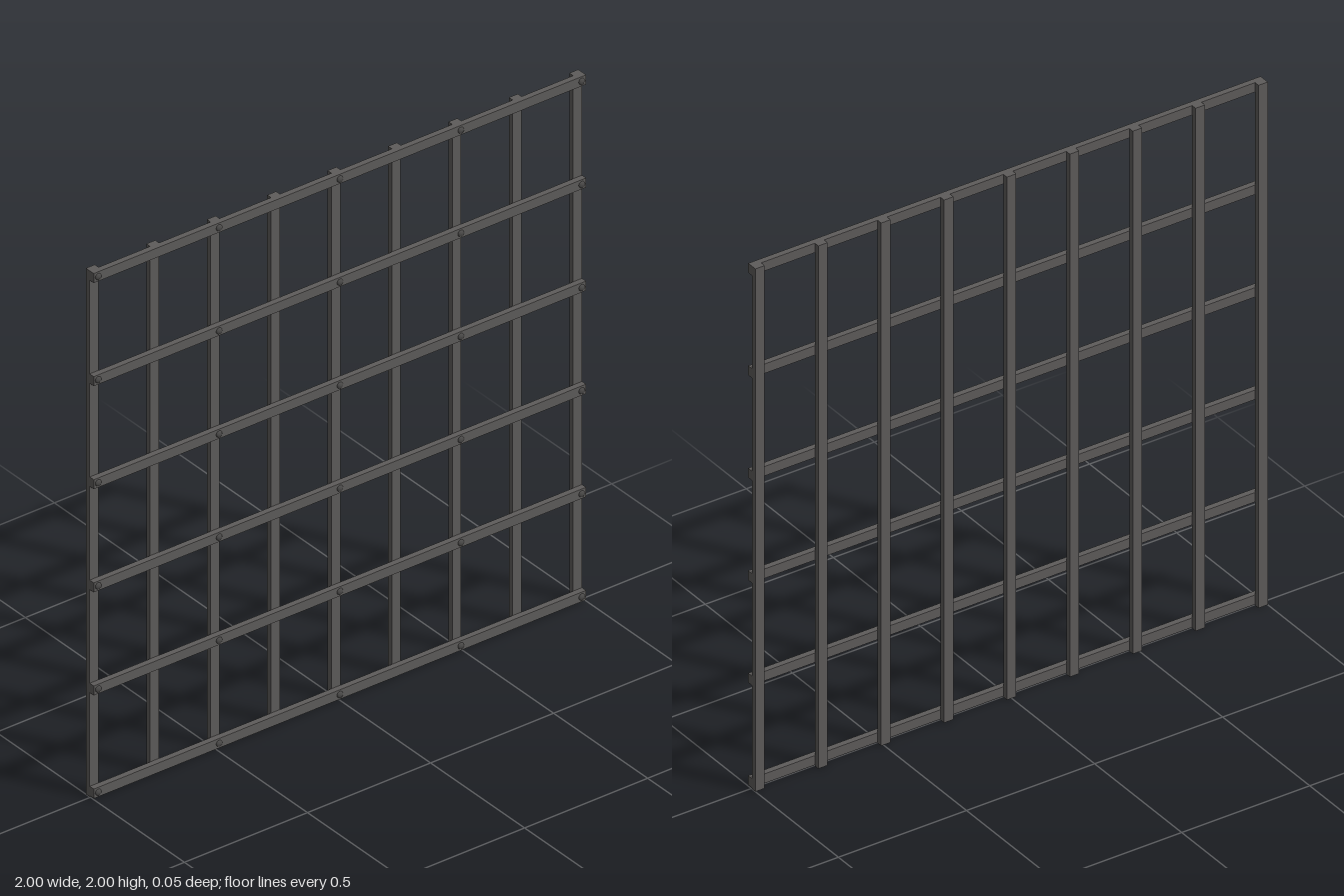
import * as THREE from 'three';

export function createModel() {
  const group = new THREE.Group();
  group.name = 'latticePanel';
  const steel = new THREE.MeshStandardMaterial({ color: 0x5e5c5b });
  steel.name = 'darkSteel';
  const boltSteel = new THREE.MeshStandardMaterial({ color: 0x4c4b4a });
  boltSteel.name = 'boltSteel';

  const width = 0.036;
  const postX = (i) => -0.982 + i * 0.2455;
  const barY = (j) => 0.022 + j * 0.392;

  const add = (geometry, material, name, x, y, z) => {
    const mesh = new THREE.Mesh(geometry, material);
    mesh.name = name;
    mesh.position.set(x, y, z);
    group.add(mesh);
  };

  // Nine upright posts at the back
  const postGeometry = new THREE.BoxGeometry(width, 2, 0.02);
  for (let i = 0; i < 9; i++) add(postGeometry, steel, 'post', postX(i), 1, -0.0135);

  // Low domed bolt head, its axis turned towards the front
  const boltGeometry = new THREE.LatheGeometry([
    new THREE.Vector2(0.012, 0),
    new THREE.Vector2(0.011, 0.003),
    new THREE.Vector2(0.007, 0.005),
    new THREE.Vector2(0, 0.006),
  ], 16);
  boltGeometry.rotateX(Math.PI / 2);

  // Six crossbars in front, bolted to every second post
  const barGeometry = new THREE.BoxGeometry(2, width, 0.0215);
  for (let j = 0; j < 6; j++) {
    add(barGeometry, steel, 'crossbar', 0, barY(j), 0.00725);
    for (let i = 0; i < 9; i += 2) add(boltGeometry, boltSteel, 'bolt', postX(i), barY(j), 0.018);
  }
  return group;
}
